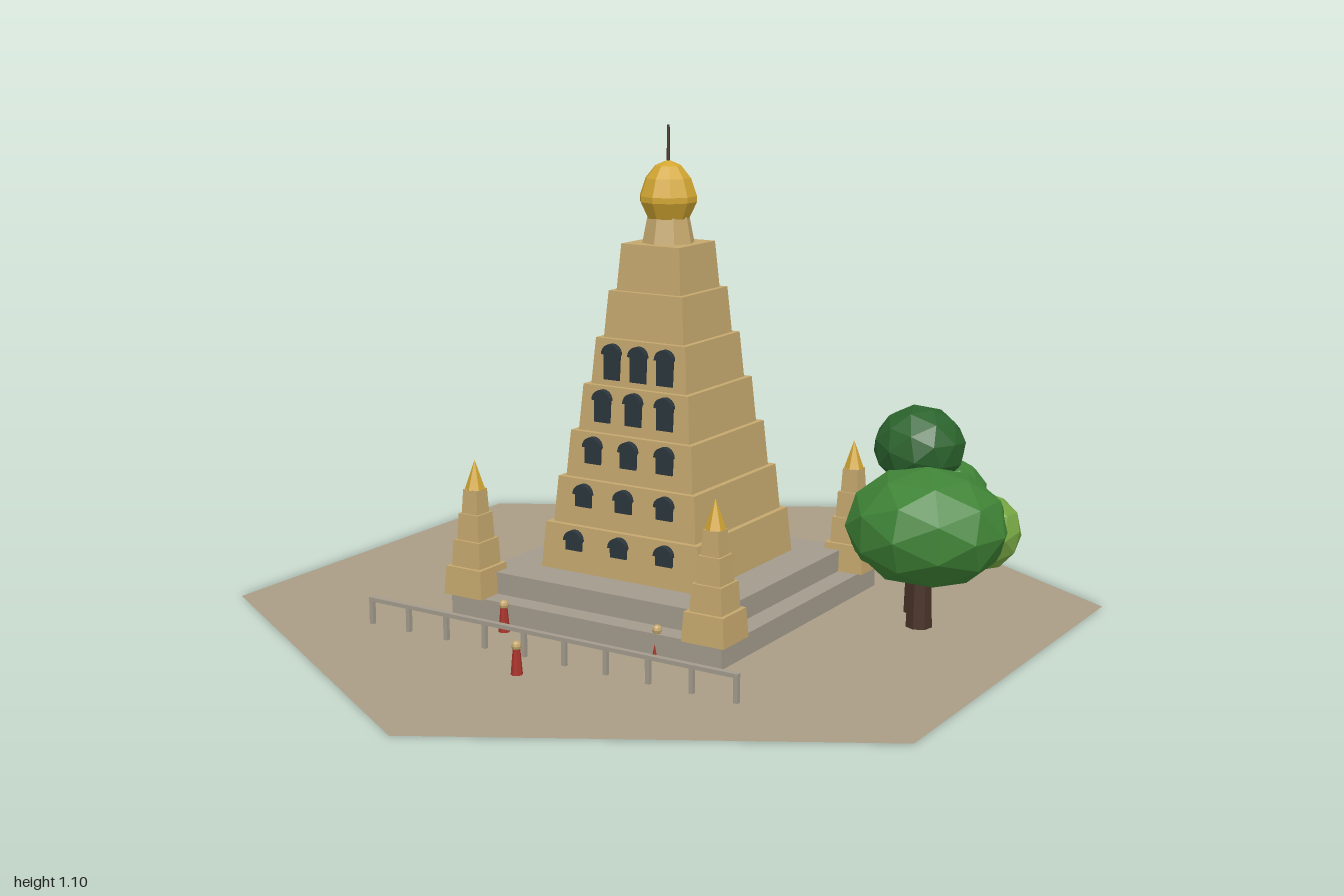
import * as THREE from 'three';

const mat = (name, color, extra = {}) => {
  const m = new THREE.MeshStandardMaterial({ color, flatShading: true, ...extra });
  m.name = name;
  return m;
};

export function createModel() {
  const M = {
    earth: mat('earth', 0xa99d86, { side: THREE.DoubleSide }),
    stone: mat('stone', 0xa39a8c),
    sandstone: mat('sandstone', 0xc4a76d),
    gold: mat('gold', 0xd2a632),
    slate: mat('slate', 0x2b363c),
    leaf: mat('leaf', 0x3f8336),
    deepLeaf: mat('deepLeaf', 0x2b632d),
    lightLeaf: mat('lightLeaf', 0x78a844),
    bark: mat('bark', 0x493328),
    robe: mat('robe', 0xa8332a),
  };
  const model = new THREE.Group();
  model.name = 'templeScene';

  const add = (parent, name, geo, material, x = 0, y = 0, z = 0) => {
    const mesh = new THREE.Mesh(geo, material);
    mesh.name = name;
    mesh.position.set(x, y, z);
    parent.add(mesh);
    return mesh;
  };
  const group = (name, x = 0, y = 0, z = 0) => {
    const g = new THREE.Group();
    g.name = name;
    g.position.set(x, y, z);
    model.add(g);
    return g;
  };
  const box = (w, h, d) => new THREE.BoxGeometry(w, h, d);
  // Square block with sloping sides, standing on its own base
  const taper = (bottom, top, h) => new THREE.CylinderGeometry(top * Math.SQRT2, bottom * Math.SQRT2, h, 4)
    .rotateY(Math.PI / 4).translate(0, h / 2, 0);

  // Hexagonal ground sheet
  add(model, 'ground', new THREE.CircleGeometry(1, 6, Math.PI / 6).rotateX(-Math.PI / 2), M.earth);

  // Two-step plinth
  add(model, 'lowerPlinth', box(0.71, 0.05, 0.71), M.stone, 0, 0.03, 0);
  add(model, 'upperPlinth', box(0.61, 0.05, 0.61), M.stone, 0, 0.08, 0);

  // Main tower: seven stepped tiers
  const tower = group('tower');
  const tierH = 0.105;
  const half = (i) => 0.209 - i * 0.0208;
  for (let i = 0; i < 7; i++) {
    add(tower, 'tier', taper(half(i), half(i) - 0.008, tierH), M.sandstone, 0, 0.105 + i * tierH, 0);
  }

  // Arched niches on the front, three per tier
  const arch = (w, h, d) => {
    const s = new THREE.Shape();
    s.moveTo(-w / 2, 0);
    s.lineTo(w / 2, 0);
    s.lineTo(w / 2, h - w / 2);
    s.absarc(0, h - w / 2, w / 2, 0, Math.PI, false);
    return new THREE.ExtrudeGeometry(s, { depth: d, bevelEnabled: false, curveSegments: 6 });
  };
  const nicheRows = [[0.155, 0.045], [0.253, 0.051], [0.35, 0.06], [0.443, 0.073], [0.538, 0.08]];
  nicheRows.forEach(([y, h], i) => {
    for (const side of [-1, 0, 1]) {
      const x = side * (0.12 - i * 0.0125);
      add(tower, 'niche', arch(0.042, h, 0.03), M.slate, x, y, half(i) - 0.028);
      // projecting hood over the niche
      add(tower, 'nicheHood', new THREE.CylinderGeometry(0.024, 0.024, 0.03, 10, 1, false, Math.PI / 2, Math.PI)
        .rotateX(Math.PI / 2), M.slate, x, y + h - 0.022, half(i) - 0.007);
    }
  });

  // Neck, golden dome and spire
  add(tower, 'neck', new THREE.CylinderGeometry(0.048, 0.06, 0.06, 8), M.sandstone, 0, 0.87, 0);
  const dome = [[0, 0.895], [0.048, 0.895], [0.066, 0.932], [0.066, 0.945], [0.052, 0.985], [0.03, 1.012], [0, 1.025]];
  add(tower, 'dome', new THREE.LatheGeometry(dome.map(([x, y]) => new THREE.Vector2(x, y)), 10), M.gold);
  add(tower, 'spire', new THREE.CylinderGeometry(0.003, 0.004, 0.085, 6), M.bark, 0, 1.06, 0);

  // Four corner shrines
  const shrineTiers = [[0.052, 0.048, 0.065], [0.039, 0.036, 0.06], [0.03, 0.027, 0.06], [0.022, 0.019, 0.055]];
  for (const sx of [-1, 1]) for (const sz of [-1, 1]) {
    const shrine = group('cornerShrine', sx * 0.315, 0.055, sz * 0.315);
    let y = 0;
    for (const [b, t, h] of shrineTiers) {
      add(shrine, 'shrineTier', taper(b, t, h), M.sandstone, 0, y, 0);
      y += h;
    }
    add(shrine, 'shrineCap', new THREE.ConeGeometry(0.023, 0.067, 6), M.gold, 0, y + 0.033, 0);
  }

  // Tree: two trunks and faceted clumps
  const tree = group('tree');
  for (const [x, z, r] of [[0.515, -0.235, 0.024], [0.57, -0.145, 0.03]]) {
    add(tree, 'trunk', new THREE.CylinderGeometry(r * 0.75, r, 0.2, 7), M.bark, x, 0.1, z);
  }
  const clumps = [
    [0.58, 0.23, -0.155, 0.185, 0.135, 0.175, M.leaf],
    [0.515, 0.385, -0.245, 0.105, 0.095, 0.105, M.deepLeaf],
    [0.48, 0.18, -0.27, 0.11, 0.11, 0.105, M.lightLeaf],
    [0.67, 0.215, -0.235, 0.095, 0.09, 0.09, M.lightLeaf],
    [0.56, 0.275, -0.285, 0.1, 0.085, 0.095, M.leaf],
    [0.45, 0.19, -0.2, 0.075, 0.09, 0.08, M.leaf],
  ];
  clumps.forEach(([x, y, z, rx, ry, rz, m], i) => {
    const g = new THREE.IcosahedronGeometry(1, 1).rotateY(i * 0.9).rotateX(i * 0.5).scale(rx, ry, rz);
    add(tree, 'foliage', g, m, x, y, z);
  });

  // Front railing
  const fence = group('railing', 0, 0, 0.492);
  add(fence, 'rail', box(0.955, 0.009, 0.013), M.stone, 0, 0.058, 0);
  for (let i = 0; i < 10; i++) {
    add(fence, 'post', box(0.01, 0.055, 0.01), M.stone, -0.473 + i * 0.105, 0.0275, 0);
  }

  // Robed visitors
  for (const [x, z] of [[-0.19, 0.38], [0.19, 0.345], [0, 0.59]]) {
    const visitor = group('visitor', x, 0, z);
    add(visitor, 'robe', new THREE.CylinderGeometry(0.008, 0.013, 0.055, 8), M.robe, 0, 0.0275, 0);
    add(visitor, 'head', new THREE.SphereGeometry(0.011, 8, 6), M.sandstone, 0, 0.062, 0);
  }

  // Flag line at the back: two poles and nine sagging flags
  const flags = group('flagLine', -0.355, 0, -0.478);
  for (const s of [-1, 1]) {
    add(flags, 'flagPole', new THREE.CylinderGeometry(0.006, 0.006, 0.215, 6), M.bark, s * 0.24, 0.1075, 0);
  }
  const flagColours = [M.slate, M.stone, M.robe, M.deepLeaf, M.gold];
  for (let i = 0; i < 9; i++) {
    const t = (i - 4) / 4;
    add(flags, 'flag', box(0.037, 0.037, 0.004), flagColours[i % 5], t * 0.194, 0.152 + 0.026 * t * t, 0);
  }

  return model;
}
